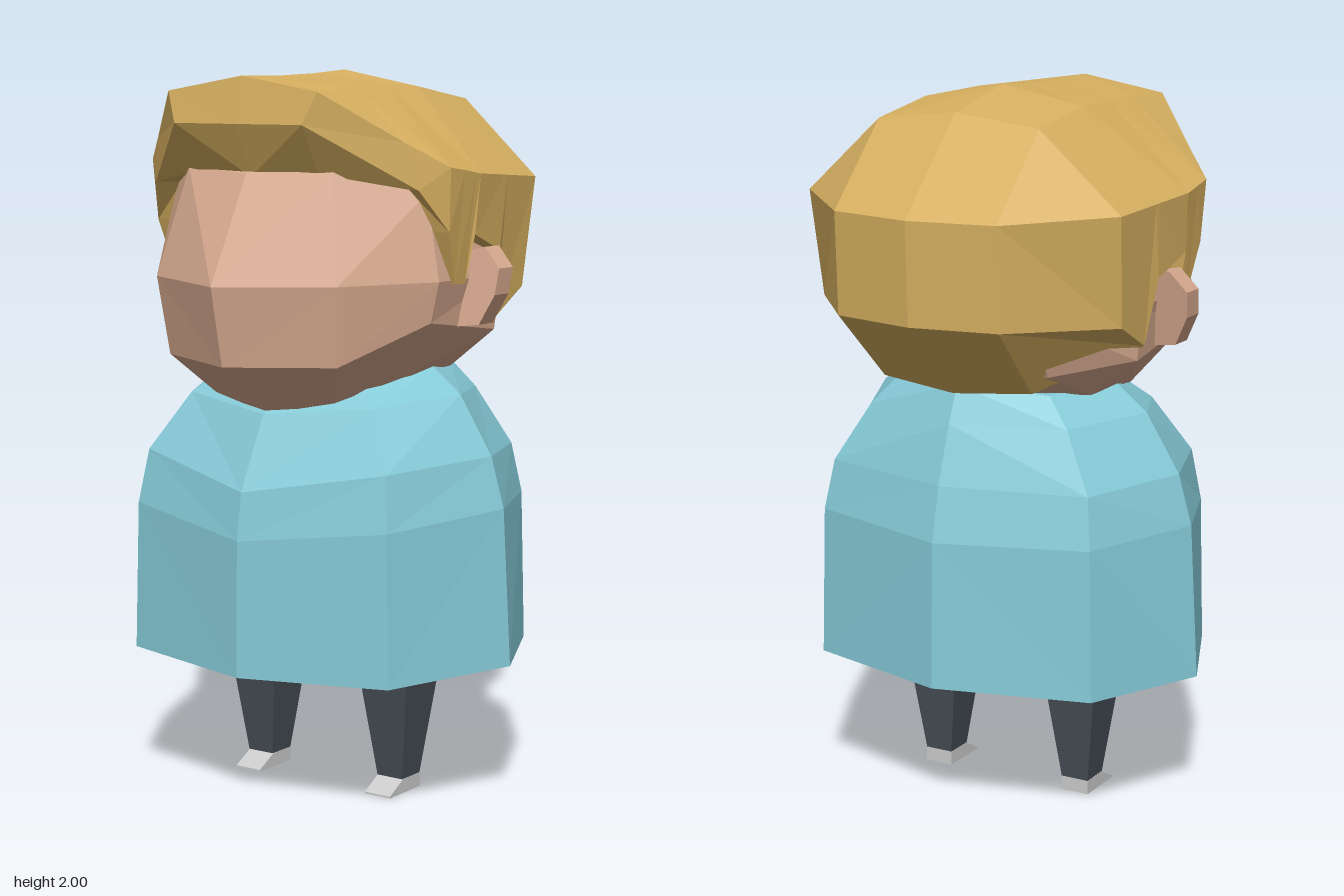
import * as THREE from 'three';

const paint = (color, side = THREE.FrontSide) =>
  new THREE.MeshStandardMaterial({ color, flatShading: true, side });
const skin = paint(0xd9ab90), cloth = paint(0x86cbd8), trouser = paint(0x474f57),
  grey = paint(0xcccccc), hairMat = paint(0xd6af60, THREE.DoubleSide);

// Joins rows of points on the +x half into faces and mirrors them to -x.
function mirroredSkin(...patches) {
  const pos = [];
  const tri = (a, b, c) => {
    const same = (p, q) => p.every((v, i) => v === q[i]);
    if (same(a, b) || same(b, c) || same(a, c)) return;
    pos.push(...a, ...b, ...c);
    for (const [x, y, z] of [a, c, b]) pos.push(-x, y, z);
  };
  for (const rows of patches) {
    for (let r = 0; r < rows.length - 1; r++) {
      for (let c = 0; c < rows[r].length - 1; c++) {
        const p = rows[r][c], q = rows[r][c + 1], s = rows[r + 1][c + 1], t = rows[r + 1][c];
        tri(p, q, s);
        tri(p, s, t);
      }
    }
  }
  const g = new THREE.BufferGeometry();
  g.setAttribute('position', new THREE.Float32BufferAttribute(pos, 3));
  g.computeVertexNormals();
  return g;
}

// A row collapsed to one point, used to close an end.
const pole = (n, y, z) => Array.from({ length: n }, () => [0, y, z]);

function part(group, name, geometry, material) {
  const m = new THREE.Mesh(geometry, material);
  m.name = name;
  group.add(m);
  return m;
}

// Smock: eight-sided rings, each listed from front centre round to back centre
function bodyGeometry() {
  const hem = [[0, 0.375, 0.455], [0.43, 0.385, 0.36], [0.585, 0.4, 0], [0.43, 0.4, -0.33], [0, 0.4, -0.445]];
  const underside = hem.map(([x, , z]) => [x * 0.85, 0.4, z * 0.85]);
  return mirroredSkin([
    pole(5, 0.41, 0),
    underside,
    hem,
    [[0, 0.75, 0.45], [0.42, 0.8, 0.355], [0.56, 0.83, 0], [0.42, 0.82, -0.325], [0, 0.81, -0.435]],
    [[0, 0.88, 0.43], [0.4, 0.95, 0.33], [0.52, 0.97, 0], [0.4, 0.96, -0.3], [0, 0.96, -0.4]],
    [[0, 1.08, 0.33], [0.31, 1.11, 0.25], [0.42, 1.13, 0], [0.31, 1.12, -0.25], [0, 1.12, -0.345]],
    [[0, 1.16, 0.26], [0.24, 1.17, 0.2], [0.33, 1.2, 0], [0.24, 1.2, -0.22], [0, 1.22, -0.3]],
    pole(5, 1.2, 0),
  ]);
}

// Head: rings from chin to crown
function headGeometry() {
  return mirroredSkin([
    pole(6, 1.14, 0),
    [[0, 1.08, 0.31], [0.2, 1.12, 0.28], [0.31, 1.18, 0.12], [0.31, 1.19, -0.12], [0.18, 1.2, -0.22], [0, 1.2, -0.25]],
    [[0, 1.225, 0.51], [0.28, 1.23, 0.38], [0.44, 1.34, 0.18], [0.45, 1.3, -0.12], [0.28, 1.27, -0.3], [0, 1.27, -0.36]],
    [[0, 1.44, 0.555], [0.3, 1.445, 0.41], [0.465, 1.45, 0.18], [0.465, 1.45, -0.13], [0.28, 1.45, -0.4], [0, 1.45, -0.45]],
    [[0, 1.73, 0.4], [0.24, 1.74, 0.34], [0.42, 1.68, 0.17], [0.42, 1.68, -0.13], [0.25, 1.7, -0.35], [0, 1.7, -0.4]],
    pole(6, 1.86, 0),
  ]);
}

// Hair: a cap running front to back, and a skirt of fringe and sideburns
function hairGeometry() {
  const upper = [
    [0, 1.985, 0.42], [0.245, 1.945, 0.42], [0.41, 1.815, 0.265], [0.5, 1.75, 0.18],
    [0.505, 1.74, 0.12], [0.508, 1.733, 0.07], [0.51, 1.73, 0.05],
    [0.497, 1.722, -0.09], [0.495, 1.72, -0.11], [0.48, 1.71, -0.28],
  ];
  const lower = [
    [0, 1.86, 0.445], [0.21, 1.86, 0.44], [0.44, 1.69, 0.24], [0.49, 1.58, 0.17],
    [0.475, 1.44, 0.12], [0.475, 1.44, 0.07], [0.5, 1.57, 0.06],
    [0.49, 1.52, -0.08], [0.465, 1.34, -0.11], [0.465, 1.41, -0.24],
  ];
  const inner = lower.map(([x, y, z]) => [x * 0.88, y, z]);
  inner[0] = [0, 1.72, 0.38];
  inner[1] = [0.2, 1.73, 0.35];
  inner[2] = [0.38, 1.69, 0.2];
  const cap = [
    [upper[0], upper[1], upper[1]],
    [[0, 1.985, 0.24], [0.245, 1.955, 0.24], upper[2]],
    [[0, 1.99, 0.1], [0.245, 1.955, 0.1], upper[3]],
    [[0, 2, -0.05], [0.245, 1.955, -0.05], upper[6]],
    [[0, 1.95, -0.3], [0.245, 1.92, -0.29], upper[9]],
    [[0, 1.7, -0.555], [0.245, 1.7, -0.51], upper[9]],
    [[0, 1.42, -0.545], [0.245, 1.42, -0.5], lower[9]],
    [[0, 1.2, -0.32], [0.23, 1.22, -0.3], lower[8]],
    [[0, 1.24, -0.2], [0.2, 1.25, -0.2], [0.4, 1.36, -0.1]],
  ];
  return mirroredSkin(cap, [inner, lower, upper]);
}

// Ear: an outline with depth, leaning forward towards the lobe
function earGeometry() {
  const outline = [[0.43, 1.32], [0.51, 1.33], [0.55, 1.41], [0.555, 1.48], [0.505, 1.535], [0.43, 1.52]];
  const shape = new THREE.Shape(outline.map(([x, y]) => new THREE.Vector2(x, y)));
  const g = new THREE.ExtrudeGeometry(shape, { depth: 0.07, bevelEnabled: false });
  const p = g.attributes.position;
  for (let i = 0; i < p.count; i++) p.setZ(i, p.getZ(i) - 0.035 + (1.44 - p.getY(i)) * 0.18);
  g.computeVertexNormals();
  return g;
}

// Leg: a box tapering to the ankle
function legGeometry() {
  const g = new THREE.BoxGeometry(0.185, 0.4, 0.19);
  const p = g.attributes.position;
  for (let i = 0; i < p.count; i++) {
    if (p.getY(i) < 0) p.setXYZ(i, p.getX(i) * 0.45, p.getY(i), p.getZ(i) * 0.46);
  }
  g.computeVertexNormals();
  return g;
}

// Foot: a side profile with a sloping toe
function footGeometry() {
  const shape = new THREE.Shape([[-0.04, 0], [0.11, 0], [0.11, 0.005], [0.045, 0.04], [-0.04, 0.04]]
    .map(([z, y]) => new THREE.Vector2(z, y)));
  return new THREE.ExtrudeGeometry(shape, { depth: 0.085, bevelEnabled: false })
    .rotateY(-Math.PI / 2).translate(0.0425, 0, 0);
}

export function createModel() {
  const model = new THREE.Group();
  model.name = 'figure';
  part(model, 'body', bodyGeometry(), cloth);
  part(model, 'head', headGeometry(), skin);
  part(model, 'hair', hairGeometry(), hairMat);

  for (const [side, s] of [['left', 1], ['right', -1]]) {
    const ear = part(model, side + 'Ear', earGeometry(), skin);
    if (s < 0) ear.scale.x = -1;
    part(model, side + 'Leg', legGeometry(), trouser).position.set(s * 0.226, 0.24, 0.005);
    part(model, side + 'Foot', footGeometry(), grey).position.x = s * 0.226;
  }
  return model;
}
